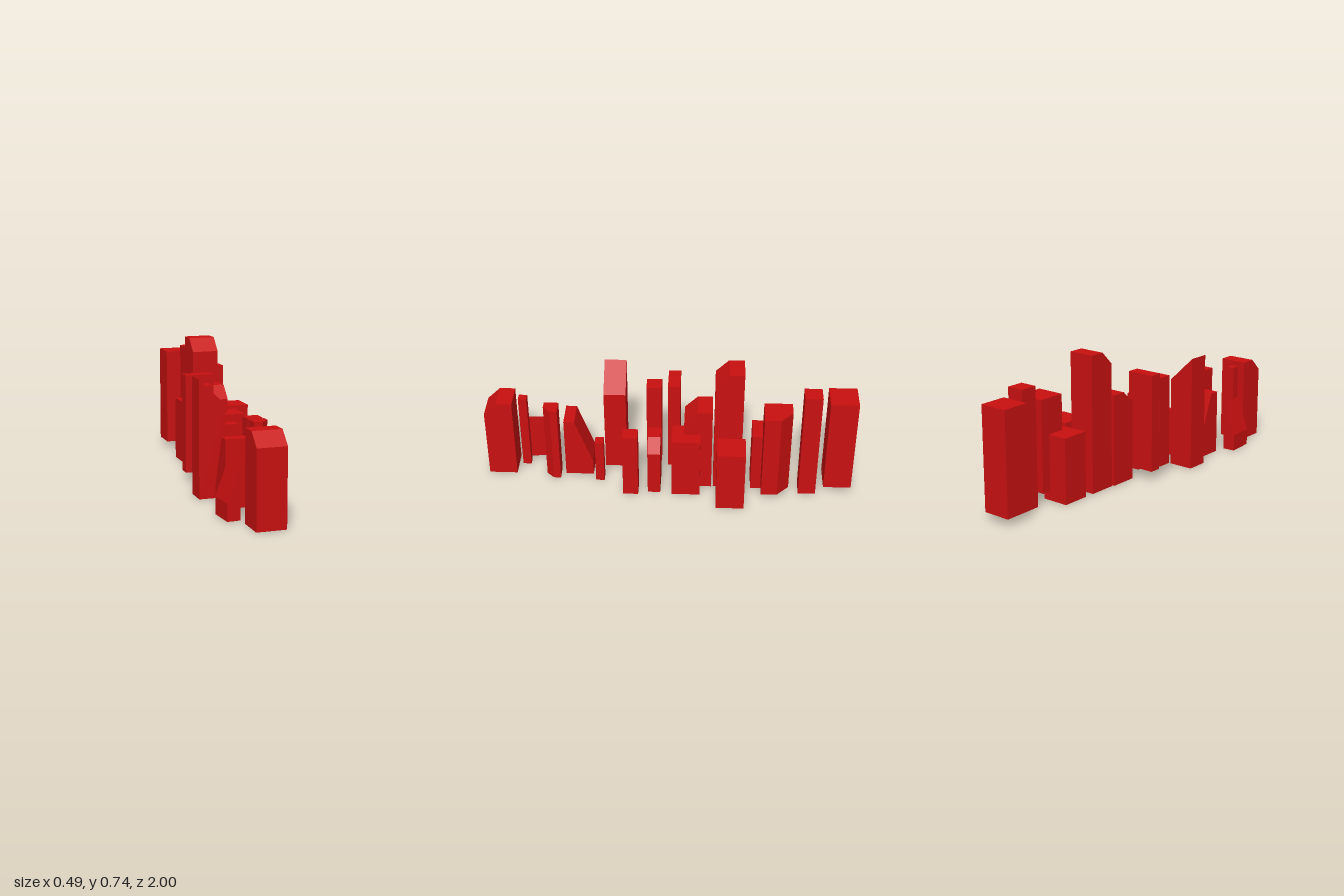
import * as THREE from 'three';

const material = new THREE.MeshStandardMaterial({ color: 0xc81010, flatShading: true });

// Extrude a 2D outline along an axis between a and b.
// Outline coordinates: 'z' -> (x, y), 'x' -> (z, y), 'y' -> (x, z)
function prism(name, axis, outline, a, b) {
  const pts = outline.map(([u, v]) => new THREE.Vector2(u, axis === 'y' ? -v : v));
  const geo = new THREE.ExtrudeGeometry(new THREE.Shape(pts), { depth: b - a, bevelEnabled: false });
  if (axis === 'x') geo.rotateY(-Math.PI / 2).translate(b, 0, 0);
  else if (axis === 'y') geo.rotateX(-Math.PI / 2).translate(0, a, 0);
  else geo.translate(0, 0, a);
  const mesh = new THREE.Mesh(geo, material);
  mesh.name = name;
  return mesh;
}

// Plain tower: x range, z range, y range
function tower(name, x0, x1, z0, z1, y0, y1) {
  const mesh = new THREE.Mesh(new THREE.BoxGeometry(x1 - x0, y1 - y0, z1 - z0), material);
  mesh.position.set((x0 + x1) / 2, (y0 + y1) / 2, (z0 + z1) / 2);
  mesh.name = name;
  return mesh;
}

// Tower whose roof slopes down along z, from (zBreak, top) to (zLow, low)
const slopedInZ = (name, x0, x1, zHigh, zBreak, zLow, top, low) =>
  prism(name, 'x', [[zHigh, 0], [zLow, 0], [zLow, low], [zBreak, top], [zHigh, top]], x0, x1);

export function createModel() {
  const city = new THREE.Group();
  city.name = 'cityBlocks';

  // Plain towers, back to front
  [
    ['backTower', -0.06, 0.095, -1, -0.85, 0.04, 0.592],
    ['slimBackTower', 0.012, 0.106, -0.808, -0.714, 0, 0.635],
    ['lowBackBlock', -0.08, 0.07, -0.606, -0.453, 0, 0.354],
    ['leftBlock', 0.092, 0.246, -0.416, -0.264, 0, 0.354],
    ['middleBlock', -0.015, 0.138, -0.175, -0.022, 0, 0.354],
    ['thinSlab', -0.202, -0.048, -0.062, 0.004, 0.055, 0.585],
    ['squareTower', -0.176, -0.09, 0.04, 0.122, 0.05, 0.545],
    ['smallLeftTower', 0.062, 0.146, 0.16, 0.242, 0, 0.38],
    ['tinyTower', -0.018, 0.033, 0.353, 0.4, 0, 0.26],
    ['slimFrontTower', -0.14, -0.097, 0.778, 0.824, 0, 0.445],
  ].forEach((t) => city.add(tower(...t)));

  // Towers with a slope towards front or back
  city.add(slopedInZ('tallSlopedTower', -0.082, 0.061, -0.4, -0.317, -0.248, 0.74, 0.671));
  city.add(slopedInZ('midSlopedTower', -0.09, 0.065, -0.238, -0.157, -0.087, 0.497, 0.428));
  city.add(slopedInZ('frontSlopedTower', -0.168, -0.014, 0.846, 0.93, 1, 0.467, 0.399));
  city.add(slopedInZ('rampBlock', -0.173, -0.02, 0.572, 0.513, 0.418, 0.354, 0.09));

  // Towers with a slope sideways
  city.add(prism('sideSlopedBlock', 'z',
    [[-0.028, 0], [0.125, 0], [0.125, 0.26], [0.058, 0.328], [-0.028, 0.328]], 0.04, 0.108));
  city.add(prism('slantRoofTower', 'z',
    [[-0.24, 0], [-0.1, 0], [-0.1, 0.486], [-0.24, 0.622]], 0.236, 0.356));

  // Towers with a cut corner
  city.add(prism('cutCornerTower', 'y',
    [[0.028, -0.658], [0.114, -0.658], [0.182, -0.594], [0.182, -0.508], [0.028, -0.508]], 0.05, 0.546));
  city.add(prism('smallCutCornerTower', 'y',
    [[-0.062, 0.598], [0.021, 0.598], [0.021, 0.637], [-0.016, 0.677], [-0.062, 0.677]], 0, 0.453));

  // Slightly turned wedge
  const wedge = prism('turnedWedge', 'z',
    [[-0.034, 0], [0.034, 0], [0.034, 0.275], [-0.034, 0.09]], -0.075, 0.075);
  wedge.position.set(-0.209, 0, 0.713);
  wedge.rotation.y = 0.07;
  city.add(wedge);

  return city;
}
